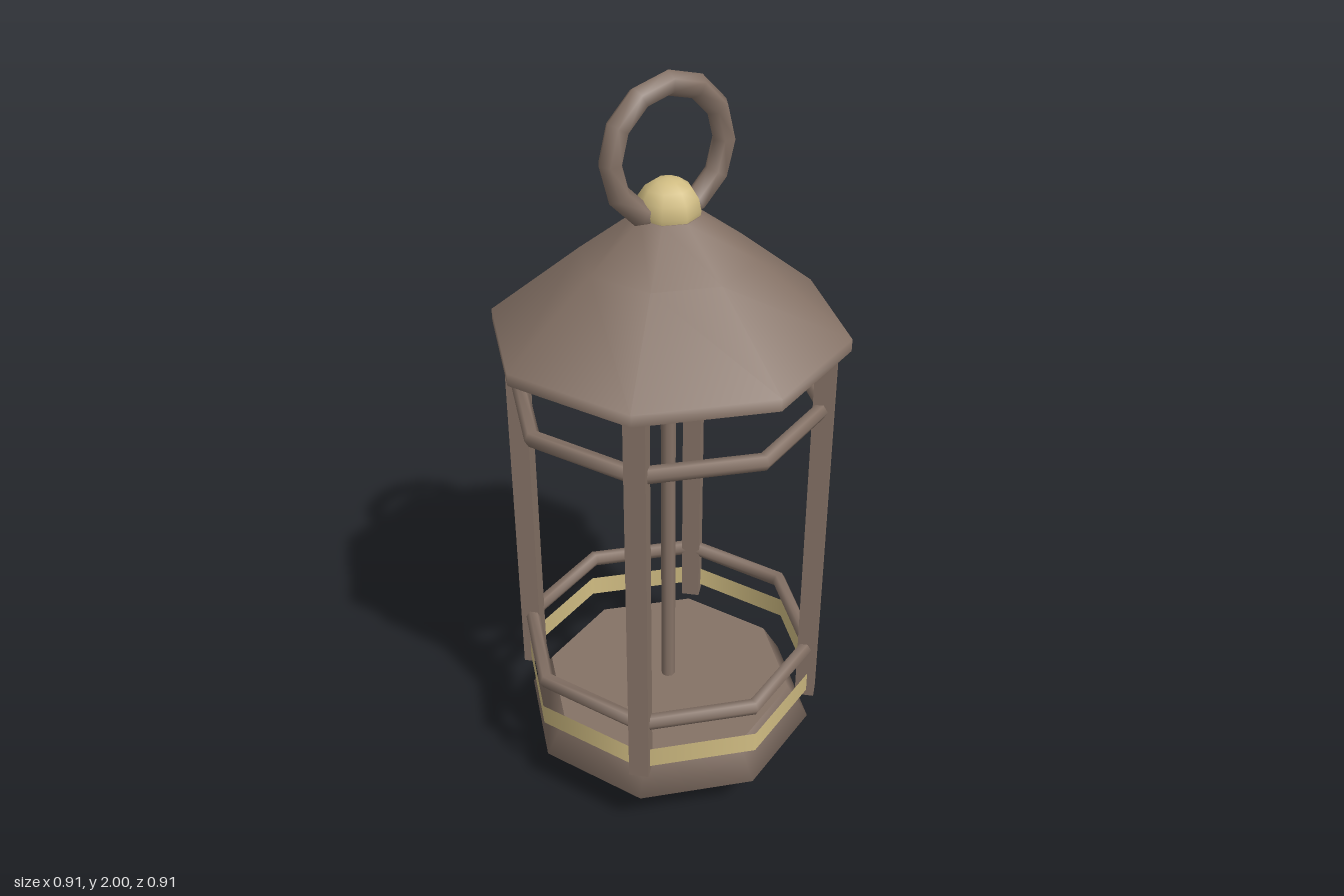
import * as THREE from 'three';

const SIDES = 8;

export function createModel() {
  const lantern = new THREE.Group();
  lantern.name = 'lantern';

  const bronze = new THREE.MeshStandardMaterial({ color: 0x857266 });
  bronze.name = 'brown bronze';
  const brass = new THREE.MeshStandardMaterial({ color: 0xd0bc82 });
  brass.name = 'pale brass';
  const brassSheet = new THREE.MeshStandardMaterial({ color: 0xd0bc82, side: THREE.DoubleSide });
  brassSheet.name = 'pale brass sheet';

  const add = (name, geometry, material, x = 0, y = 0, z = 0) => {
    const mesh = new THREE.Mesh(geometry, material);
    mesh.name = name;
    mesh.position.set(x, y, z);
    lantern.add(mesh);
    return mesh;
  };
  // Eight-sided turned shape, profile listed as [radius, height]
  const turned = (profile) =>
    new THREE.LatheGeometry(profile.map(([r, y]) => new THREE.Vector2(r, y)), SIDES);

  // Bowl-shaped base with a flat top
  add('base', turned([[0, 0], [0.16, 0], [0.295, 0.062], [0.41, 0.13], [0.35, 0.23]]), bronze);
  add('baseTop', turned([[0.35, 0.23], [0, 0.23]]), bronze);

  // Flared roof with a short rim and flat underside
  add('roof', turned([[0.457, 1.33], [0.457, 1.362], [0.222, 1.55], [0.08, 1.655]]), bronze);
  add('roofTop', turned([[0.08, 1.655], [0, 1.655]]), bronze);
  add('roofUnderside', turned([[0, 1.33], [0.457, 1.33]]), bronze);

  // Four square posts on the diagonals, faces turned outward
  for (const x of [-1, 1]) {
    for (const z of [-1, 1]) {
      const post = add('post', new THREE.BoxGeometry(0.053, 1.1, 0.053), bronze,
        x * 0.282, 0.78, z * 0.282);
      post.rotation.y = Math.PI / 4;
    }
  }

  // Slim rod through the middle
  add('centreRod', new THREE.CylinderGeometry(0.02, 0.02, 1.1, 8), bronze, 0, 0.78, 0);

  // Guard rails
  for (const y of [0.395, 1.165]) {
    const rail = add('guardRail', new THREE.TorusGeometry(0.4, 0.022, 6, SIDES), bronze, 0, y, 0);
    rail.rotation.x = Math.PI / 2;
  }

  // Thin brass band
  add('brassBand', new THREE.CylinderGeometry(0.415, 0.415, 0.06, SIDES, 1, true), brassSheet, 0, 0.28, 0);

  // Finial ball and carrying ring
  add('finial', new THREE.SphereGeometry(0.08, SIDES, 8), brass, 0, 1.666, 0);
  add('carryRing', new THREE.TorusGeometry(0.16, 0.03, 6, 12), bronze, 0, 1.81, 0);

  return lantern;
}
